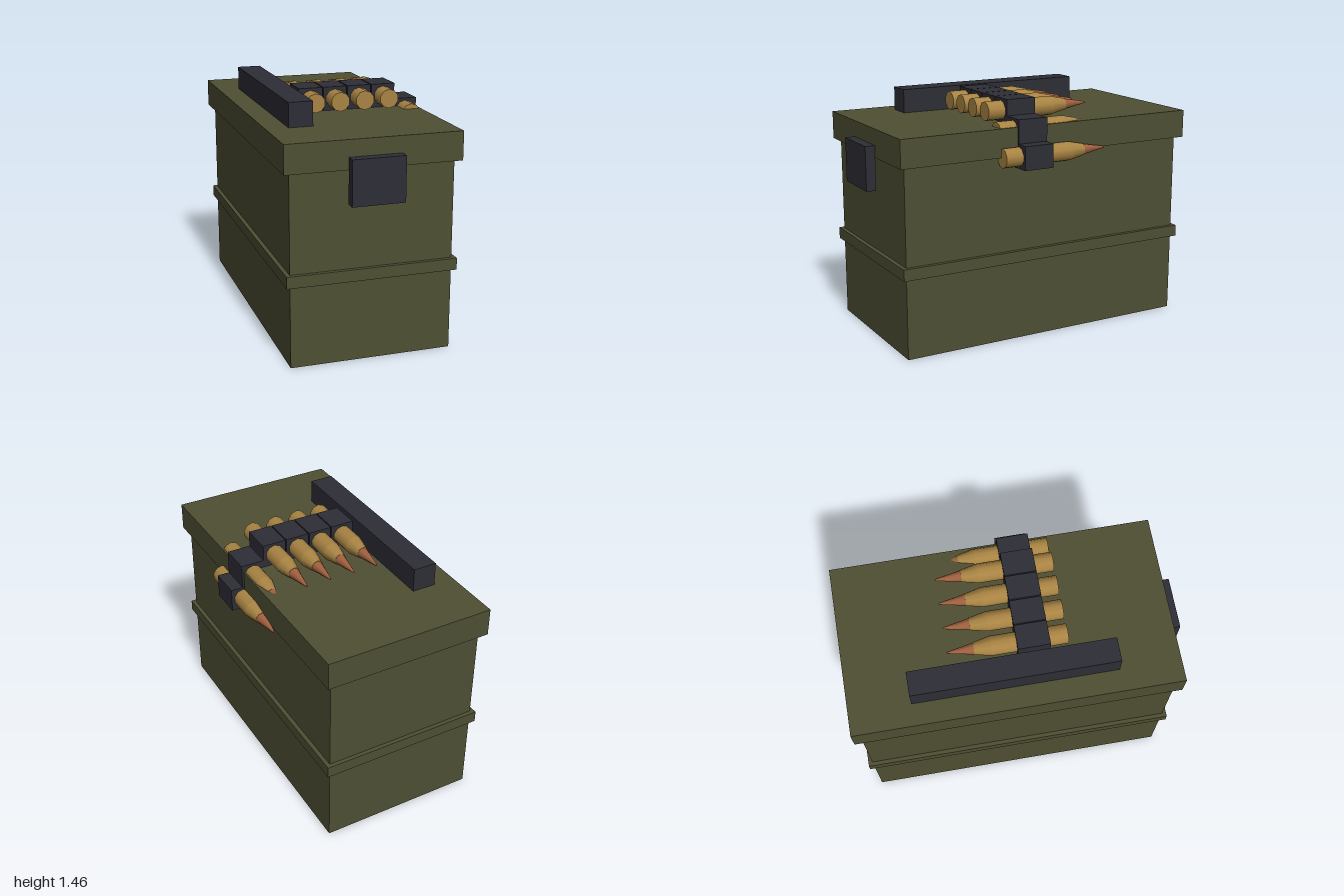
import * as THREE from 'three';

const material = (name, color) => {
  const m = new THREE.MeshStandardMaterial({ color });
  m.name = name;
  return m;
};

export function createModel() {
  const olive = material('olive paint', 0x4e4f33);
  const steel = material('dark steel', 0x2d2d36);
  const brass = material('brass', 0xa98443);
  const copper = material('copper', 0xa0603f);

  const model = new THREE.Group();
  model.name = 'ammunitionBox';

  const add = (parent, name, geometry, mat) => {
    const mesh = new THREE.Mesh(geometry, mat);
    mesh.name = name;
    parent.add(mesh);
    return mesh;
  };

  // Box given by its lower and upper limits on each axis
  const box = (parent, name, mat, [x0, x1], [y0, y1], [z0, z1]) =>
    add(parent, name, new THREE.BoxGeometry(x1 - x0, y1 - y0, z1 - z0), mat)
      .position.set((x0 + x1) / 2, (y0 + y1) / 2, (z0 + z1) / 2);

  // Can, lid and fittings
  box(model, 'body', olive, [-0.528, 0.438], [0, 1.2], [-0.96, 0.905]);
  box(model, 'band', olive, [-0.553, 0.463], [0.488, 0.558], [-0.985, 0.93]);
  box(model, 'lid', olive, [-0.565, 0.475], [1.14, 1.31], [-1, 0.94]);
  box(model, 'handle', steel, [-0.433, -0.288], [1.31, 1.455], [-0.635, 0.575]);
  box(model, 'latch', steel, [-0.2, 0.113], [0.945, 1.212], [0.94, 1]);

  // Round section along z, from front (zf) to back (zb)
  const SIDES = 10;
  const section = (parent, name, mat, rf, rb, zf, zb, open) => {
    const g = new THREE.CylinderGeometry(rf, rb, zf - zb, SIDES, 1, open);
    g.rotateX(Math.PI / 2);
    add(parent, name, g, mat).position.z = (zf + zb) / 2;
  };

  // Belt of linked rounds: four on the lid, two hanging over the edge
  const belt = new THREE.Group();
  belt.name = 'belt';
  model.add(belt);
  const places = [[-0.189, 1.381], [-0.036, 1.381], [0.118, 1.381],
    [0.271, 1.381], [0.415, 1.284], [0.488, 1.139]];
  for (const [x, y] of places) {
    const round = new THREE.Group();
    round.name = 'round';
    round.position.set(x, y, 0);
    belt.add(round);
    section(round, 'case', brass, 0.058, 0.058, 0.31, -0.135, false);
    section(round, 'shoulder', brass, 0.058, 0.036, -0.135, -0.235, false);
    section(round, 'bullet', copper, 0.034, 0.005, -0.235, -0.39, false);
    box(round, 'link', steel, [-0.0735, 0.0735], [-0.0715, 0.0715], [0.01, 0.2]);
  }
  return model;
}
